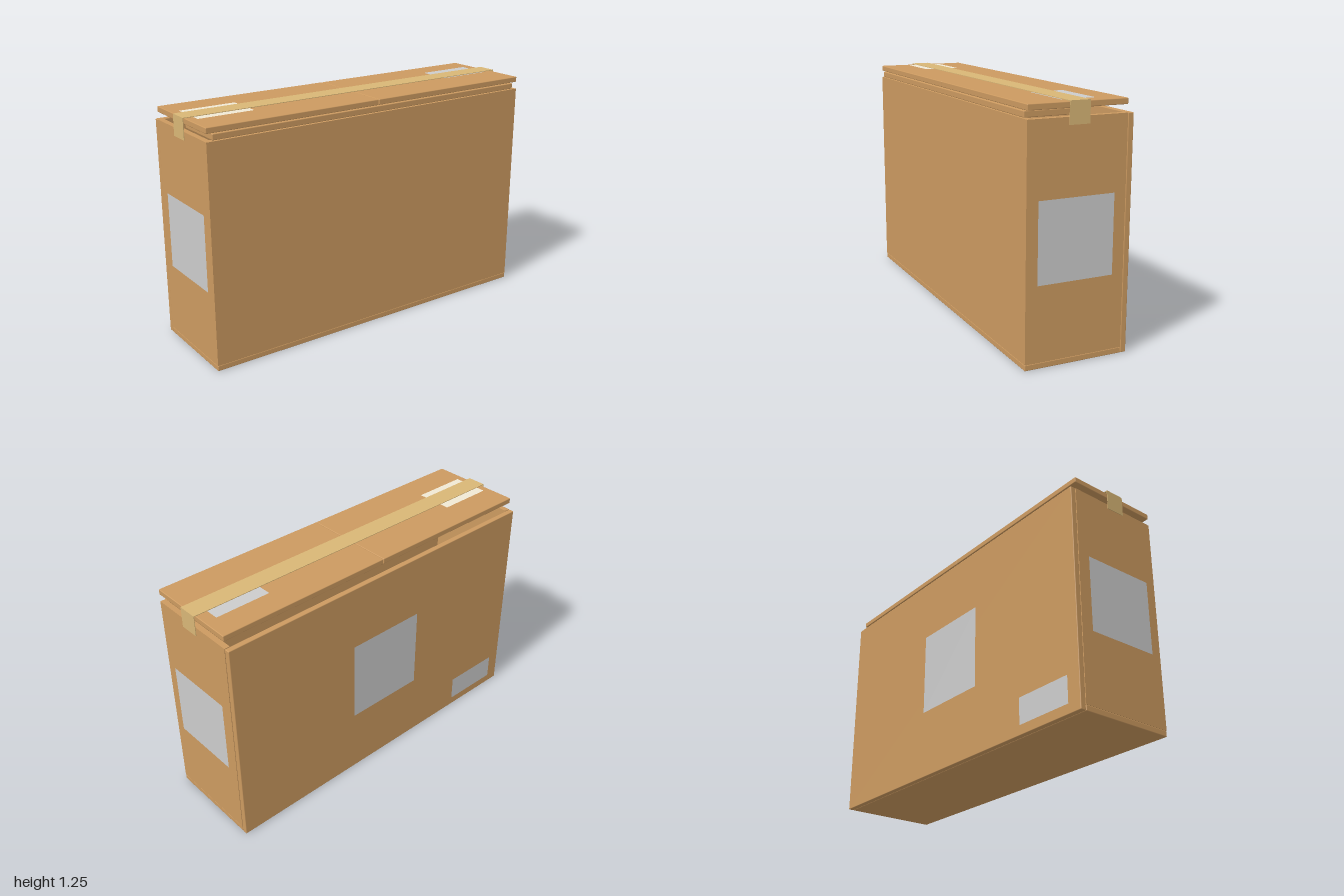
import * as THREE from 'three';
import { RoundedBoxGeometry } from 'three/addons/geometries/RoundedBoxGeometry.js';

const material = (color, extra = {}) => new THREE.MeshStandardMaterial({ color, ...extra });

export function createModel() {
  const group = new THREE.Group();
  const card = material(0xcc9a60);
  const tape = material(0xd8b676);
  const grey = material(0xcccccc, { side: THREE.DoubleSide });
  const cream = material(0xf0e8d4, { side: THREE.DoubleSide });

  const add = (name, geometry, mat) => {
    const mesh = new THREE.Mesh(geometry, mat);
    mesh.name = name;
    group.add(mesh);
    return mesh;
  };
  // Board spanning two corners, with slightly softened edges
  const board = (name, [x0, y0, z0], [x1, y1, z1]) => {
    const geometry = new RoundedBoxGeometry(x1 - x0, y1 - y0, z1 - z0, 2, 0.004);
    add(name, geometry, card).position.set((x0 + x1) / 2, (y0 + y1) / 2, (z0 + z1) / 2);
  };
  // Thin tape strip spanning two corners
  const strip = (name, [x0, y0, z0], [x1, y1, z1]) => {
    const geometry = new THREE.BoxGeometry(x1 - x0, y1 - y0, z1 - z0);
    add(name, geometry, tape).position.set((x0 + x1) / 2, (y0 + y1) / 2, (z0 + z1) / 2);
  };
  // Flat sticker, turned by rx and ry from facing +z
  const sticker = (name, w, h, position, mat, rx = 0, ry = 0) => {
    const mesh = add(name, new THREE.PlaneGeometry(w, h), mat);
    mesh.position.set(...position);
    mesh.rotation.set(rx, ry, 0);
  };

  const W = 0.987, D = 0.277, T = 0.03, H = 1.18, B = -0.245;

  // Front and side walls as one folded sheet, open at the back
  const fold = new THREE.Shape([
    [-W, -B], [-W, -D], [W, -D], [W, -B],
    [W - T, -B], [W - T, -D + T], [-W + T, -D + T], [-W + T, -B],
  ].map(([x, y]) => new THREE.Vector2(x, y)));
  const walls = new THREE.ExtrudeGeometry(fold, { depth: H - T, bevelEnabled: false });
  walls.rotateX(-Math.PI / 2);
  add('frontAndSideWalls', walls, card).position.y = T;

  // Bottom and back panels
  board('bottomPanel', [-W, 0, B], [W, T, D]);
  board('backPanel', [-W, 0, -D], [W, H, B - 0.002]);

  // Inner front flap, and two outer flaps meeting in the middle
  board('innerFlap', [-0.955, 1.184, 0], [0.955, 1.215, D]);
  for (const [name, x] of [['rightOuterFlap', -W], ['leftOuterFlap', 0.001]]) {
    board(name, [x, 1.219, B], [x + W - 0.001, 1.249, D]);
  }

  // Tape along the top, folded down over both ends
  strip('topTape', [-1, 1.252, -0.036], [1, 1.255, 0.07]);
  for (const s of [-1, 1]) {
    const x = s * 0.9985;
    strip('endTape', [x - 0.0015, 1.145, -0.036], [x + 0.0015, 1.252, 0.07]);
    sticker('sideLabel', 0.4, 0.4, [s * 0.991, 0.61, 0.018], grey, 0, s * Math.PI / 2);
  }

  // Labels on the top and back
  sticker('creamTopLabel', 0.305, 0.2, [-0.792, 1.251, 0.015], cream, -Math.PI / 2);
  sticker('greyTopLabel', 0.305, 0.182, [0.772, 1.251, -0.016], grey, -Math.PI / 2);
  sticker('backLabel', 0.46, 0.46, [0, 0.6, -D - 0.003], grey, 0, Math.PI);
  sticker('smallBackLabel', 0.335, 0.14, [-0.743, 0.12, -D - 0.003], grey, 0, Math.PI);

  return group;
}
